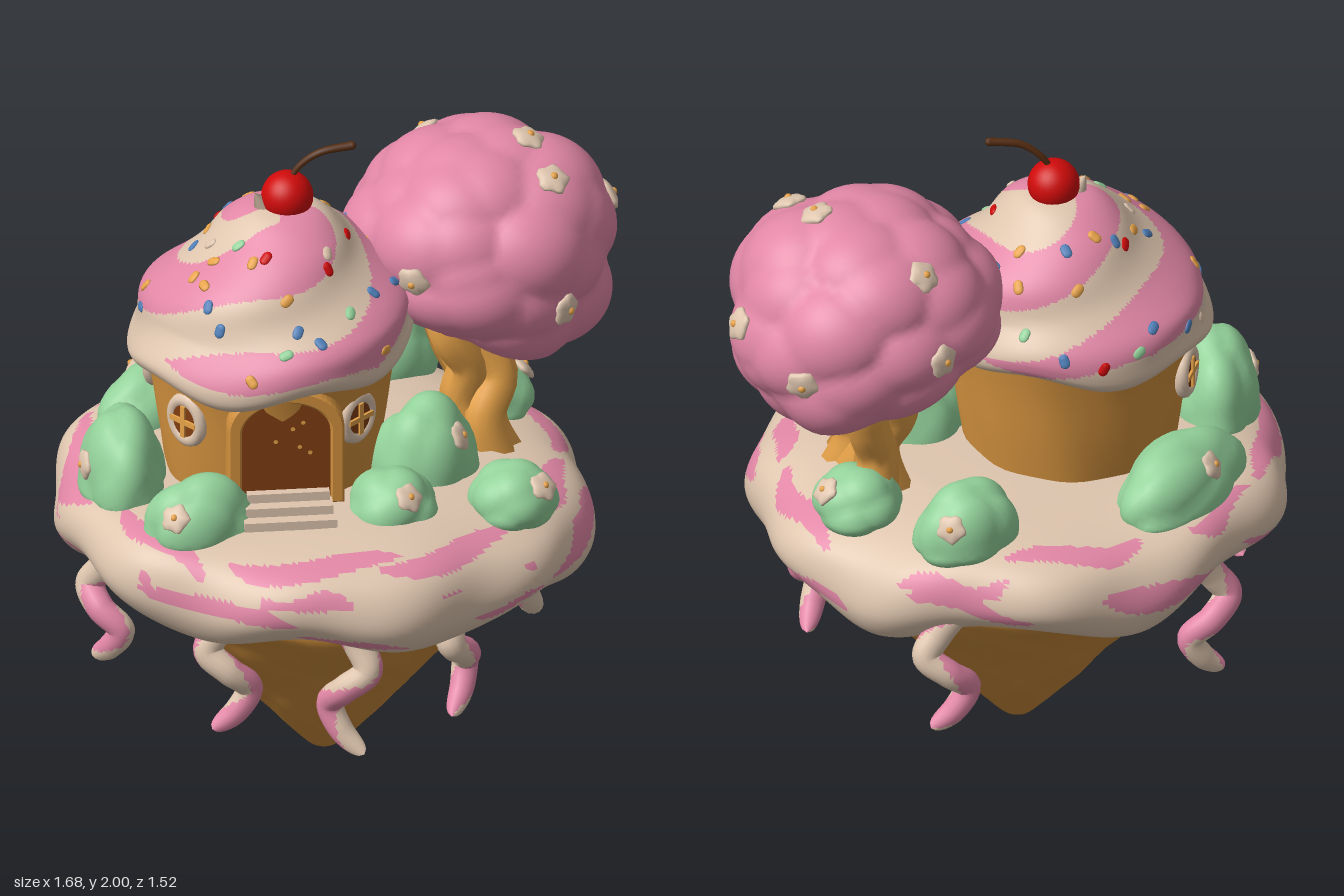
import * as THREE from 'three';
import { mergeVertices } from 'three/addons/utils/BufferGeometryUtils.js';

const V = (x, y, z) => new THREE.Vector3(x, y, z);
const { sin, cos, atan2, hypot, sqrt, abs, max, min, PI } = Math;

export function createModel() {
  const mat = (name, color) => {
    const m = new THREE.MeshStandardMaterial({ color });
    m.name = name;
    return m;
  };
  const cream = mat('cream', 0xdec5ae), pink = mat('pink', 0xe287a6), biscuit = mat('biscuit', 0xcb8b3a),
    wall = mat('cookieWall', 0xd4923e), honey = mat('honey', 0xeaa54a), brown = mat('chocolate', 0x803d11),
    red = mat('cherryRed', 0xd00a0a), green = mat('mint', 0x94d29b), blue = mat('blue', 0x4f7fb8), stemBrown = mat('stemBrown', 0x552c10);

  const model = new THREE.Group();
  const add = (name, geo, material, parent = model) => {
    const m = new THREE.Mesh(geo, material);
    m.name = name;
    parent.add(m);
    return m;
  };
  const group = (name, x = 0, y = 0, z = 0, parent = model) => {
    const g = new THREE.Group();
    g.name = name;
    g.position.set(x, y, z);
    parent.add(g);
    return g;
  };
  let seed = 7;
  const rnd = () => (seed = (seed * 16807) % 2147483647) / 2147483647;

  // Moves every vertex by a rule and rebuilds smooth normals without seams
  const reshape = (geo, rule) => {
    geo.deleteAttribute('uv');
    geo.deleteAttribute('normal');
    const g = mergeVertices(geo, 1e-4), p = g.attributes.position, v = V();
    for (let i = 0; i < p.count; i++) {
      rule(v.fromBufferAttribute(p, i));
      p.setXYZ(i, v.x, v.y, v.z);
    }
    g.computeVertexNormals();
    return g;
  };
  // Turned body from a smooth profile (bottom to top), then reshaped
  const turned = (pts, around, along, rule) => reshape(new THREE.LatheGeometry(
    new THREE.SplineCurve(pts.map(p => new THREE.Vector2(...p))).getSpacedPoints(along)
      .map(p => new THREE.Vector2(max(0, p.x), p.y)), around), rule);
  // Sorts triangles into two material groups
  const paint = (geo, rule) => {
    const idx = geo.index.array, p = geo.attributes.position, uv = geo.attributes.uv, sets = [[], []];
    for (let i = 0; i < idx.length; i += 3) {
      const t = [idx[i], idx[i + 1], idx[i + 2]], c = V(), w = new THREE.Vector2();
      for (const k of t) {
        c.add(V().fromBufferAttribute(p, k));
        if (uv) w.add(new THREE.Vector2().fromBufferAttribute(uv, k));
      }
      sets[rule(c.divideScalar(3), w.divideScalar(3)) ? 1 : 0].push(...t);
    }
    geo.setIndex([...sets[0], ...sets[1]]);
    geo.addGroup(0, sets[0].length, 0);
    geo.addGroup(sets[0].length, sets[1].length, 1);
    return geo;
  };
  // Tube whose radius follows a function of its length
  const taper = (pts, radius, n = 32, sides = 10) => {
    const curve = new THREE.CatmullRomCurve3(pts), g = new THREE.TubeGeometry(curve, n, 1, sides);
    const p = g.attributes.position, v = V();
    for (let i = 0; i < p.count; i++) {
      const t = Math.floor(i / (sides + 1)) / n, c = curve.getPointAt(t);
      v.fromBufferAttribute(p, i).sub(c).multiplyScalar(radius(t, i % (sides + 1))).add(c);
      p.setXYZ(i, v.x, v.y, v.z);
    }
    return g;
  };
  // Ball covered in rounded lobes of uneven height
  const lumpy = (detail, count, amp, rule) => {
    const lobes = Array.from({ length: count }, (_, i) => {
      const y = 1 - (2 * i + 1) / count, r = sqrt(1 - y * y), a = i * 2.4 + rnd() * 0.8;
      return V(r * cos(a), y + (rnd() - 0.5) * 0.3, r * sin(a)).normalize().multiplyScalar(1 - 0.8 * rnd() * amp);
    });
    return reshape(new THREE.IcosahedronGeometry(1, detail), v => {
      const m = max(...lobes.map(l => l.dot(v)));
      v.multiplyScalar(1 + amp * 0.45 - amp * min(1.8, (1 - m) * count / 4));
      rule(v);
    });
  };
  // Places an object on a surface vertex, facing outward
  const stick = (obj, geo, i) => {
    obj.position.fromBufferAttribute(geo.attributes.position, i);
    obj.quaternion.setFromUnitVectors(V(0, 0, 1), V().fromBufferAttribute(geo.attributes.normal, i));
  };
  const flower = (geo, dir, parent, size) => {
    const p = geo.attributes.position, d = V(...dir).normalize();
    let best = 0, score = -9;
    for (let i = 0; i < p.count; i++) {
      const s = V().fromBufferAttribute(p, i).normalize().dot(d);
      if (s > score) { score = s; best = i; }
    }
    const f = group('flower', 0, 0, 0, parent);
    stick(f, geo, best);
    add('petals', reshape(new THREE.SphereGeometry(size, 20, 8), v => {
      const k = 1 + 0.12 * cos(5 * atan2(v.y, v.x));
      v.set(v.x * k, v.y * k, v.z * 0.4);
    }), cream, f);
    add('flowerCentre', new THREE.SphereGeometry(size * 0.26, 8, 6).translate(0, 0, size * 0.3), honey, f);
  };

  // Waffle cone
  add('cone', turned([[0, 0], [0.04, 0.018], [0.095, 0.075], [0.22, 0.22], [0.365, 0.4], [0.52, 0.585], [0.61, 0.71], [0.5, 0.8]], 72, 48, v => {
    const a = atan2(v.x, v.z), k = 1 + 0.012 * sin(a * 7 + 2) * sin(v.y * 24) + 0.012 * sin(a * 4 - v.y * 17) + 0.008 * sin(a * 13) * sin(v.y * 47 + a);
    v.x = v.x * k - 0.05;
    v.z *= k;
  }), biscuit);

  // Frosting island; streaks run from (angle, distance) to (angle, distance) with a half width
  const streaks = [
    [-1.15, 0.66, -0.6, 0.71, 0.034], [-0.85, 0.77, -0.2, 0.85, 0.036], [-0.52, 0.66, 0.28, 0.62, 0.042], [0.15, 0.66, 0.9, 0.65, 0.038],
    [0.3, 0.76, 0.85, 0.79, 0.03], [0.55, 0.92, 0.9, 0.87, 0.022], [-1.3, 0.72, -2.05, 0.73, 0.034], [-1.5, 0.84, -1.05, 0.92, 0.03],
    [-2.7, 0.64, -3.35, 0.65, 0.036], [2.95, 0.71, 2.45, 0.77, 0.032], [-2.5, 0.69, -2.1, 0.72, 0.024], [1.1, 0.66, 1.55, 0.7, 0.034],
    [0.95, 0.85, 1.5, 0.78, 0.034], [1.6, 0.68, 2.15, 0.74, 0.034], [1.75, 0.86, 2.3, 0.9, 0.034], [-2.25, 0.8, -1.65, 0.9, 0.036],
    [-2.95, 0.82, -2.4, 0.88, 0.038], [3.05, 0.86, 2.55, 0.81, 0.034], [-0.2, 0.93, 0.25, 0.96, 0.026], [-0.35, 0.73, 0.05, 0.75, 0.022]
  ];
  const island = turned([[0.45, 0.77], [0.6, 0.71], [0.7, 0.7], [0.765, 0.78], [0.755, 0.87], [0.69, 0.935], [0.55, 0.97], [0.3, 0.985], [0, 0.99]], 250, 90, v => {
    const a = atan2(v.x, v.z), r = hypot(v.x, v.z), rim = max(0, min(1, (r - 0.4) / 0.3)), low = max(0, (0.97 - v.y) / 0.27);
    const k = 1 + rim * (0.014 * sin(6 * a + 1) + 0.014 * sin(11 * a - v.y * 9));
    v.y += rim * 0.012 * sin(5 * a) + low * 0.035 * sin(6 * a + 2.6) - 0.035 * v.x * rim;
    v.x = v.x * k * 1.02 - 0.055;
    v.z *= k * 0.97;
  });
  add('frostingIsland', paint(island, c => {
    const x = c.x + 0.055, r = hypot(x, c.z), a = atan2(x, c.z);
    const s = c.y > 0.86 ? r : 0.77 + (0.86 - c.y) + (0.77 - r);
    return streaks.some(([a0, s0, a1, s1, w]) => [a - 2 * PI, a, a + 2 * PI].some(b => {
      const t = (b - a0) / (a1 - a0);
      return t > 0 && t < 1 && abs(s - s0 - (s1 - s0) * t - 0.018 * sin(2 * PI * t)) < w * sqrt(sin(PI * t));
    }));
  }), [cream, pink]);

  // Curly drips: x, z, lowest point
  [[-0.69, 0.15, 0.39], [-0.54, -0.43, 0.36], [-0.37, 0.5, 0.34], [-0.04, 0.61, 0.31], [0.29, 0.48, 0.36], [0.55, -0.03, 0.37], [0.24, -0.61, 0.36]].forEach(([x, z, end], i) => {
    const a = atan2(x + 0.05, z), s = i % 2 ? 1 : -1;
    const at = (side, out, t) => V(x + s * side * cos(a) + out * sin(a), 0.77 + (end + 0.015 - 0.77) * t, z - s * side * sin(a) + out * cos(a));
    const path = [at(-0.02, -0.02, 0), at(0.03, 0.01, 0.2), at(0.055, 0.04, 0.36), at(-0.01, 0.03, 0.5), at(-0.05, -0.02, 0.66), at(-0.02, 0, 0.84), at(0.045, 0.03, 1)];
    add('drip', paint(taper(path, t => 0.046 * (1 - 0.2 * t) * sqrt(max(0, 1 - t ** 12)), 60, 14),
      (c, uv) => sin(2 * PI * (uv.y + uv.x * 1.2) + i) > 0), [cream, pink]);
  });

  // House walls
  const house = group('house', -0.205, 0, 0);
  add('walls', turned([[0.305, 0.95], [0.33, 1.12], [0.35, 1.28], [0.375, 1.42]], 48, 10, v => {
    const k = 1 + 0.012 * sin(9 * atan2(v.x, v.z) + v.y * 6);
    v.x *= k;
    v.z *= k;
  }), wall, house);

  // Arched doorway
  const arch = (w, h, S = THREE.Shape) => {
    const s = new S();
    s.moveTo(-w, 0).lineTo(w, 0).lineTo(w, h - w * 0.75);
    s.absellipse(0, h - w * 0.75, w, w * 0.75, 0, PI, false);
    return s.lineTo(-w, 0);
  };
  const frame = arch(0.163, 0.365);
  frame.holes.push(arch(0.136, 0.335, THREE.Path));
  add('doorFrame', new THREE.ExtrudeGeometry(frame, { depth: 0.14, bevelSize: 0.007, bevelThickness: 0.007, bevelSegments: 1 })
    .translate(0.01, 1.02, 0.22), wall, house);
  add('door', new THREE.ExtrudeGeometry(arch(0.14, 0.34), { depth: 0.1, bevelEnabled: false }).translate(0.01, 1.02, 0.255), brown, house);
  for (const [x, y] of [[0.08, 1.18], [0.03, 1.26], [0.05, 1.2], [-0.02, 1.22], [0.06, 1.28]])
    add('doorSpeck', new THREE.CircleGeometry(0.007, 8).translate(x, y, 0.357), honey, house);
  for (let i = 0; i < 3; i++)
    add('step', new THREE.BoxGeometry(0.24 + (2 - i) * 0.015, 0.028, 0.17 - i * 0.035).translate(0.015, 0.99 + i * 0.028, 0.365 - i * 0.0175), cream, house);

  // Round windows
  for (const [x, z] of [[0.225, 0.255], [-0.265, 0.225], [-0.32, -0.15]]) {
    const w = group('window', x, 1.235, z, house);
    w.rotation.y = atan2(x, z);
    add('windowRim', new THREE.TorusGeometry(0.055, 0.019, 10, 24).scale(1, 1.15, 1.1), cream, w);
    add('windowPane', new THREE.CylinderGeometry(0.05, 0.05, 0.03, 20).rotateX(PI / 2), brown, w);
    for (const r of [0, PI / 2]) add('windowBar', new THREE.BoxGeometry(0.1, 0.016, 0.009).rotateZ(r).translate(0, 0, 0.018), honey, w);
  }

  // Frosting roof with two swirled arms
  const swirl = (x, y, z) => 23 * (y - 1.36) - 2 * atan2(x, z);
  const roof = turned([[0.3, 1.4], [0.375, 1.355], [0.415, 1.39], [0.405, 1.45], [0.375, 1.52], [0.315, 1.6], [0.25, 1.67], [0.18, 1.74], [0.1, 1.795], [0, 1.81]], 180, 80, v => {
    const a = atan2(v.x, v.z), up = max(0, (v.y - 1.4) / 0.45), k = 1 + 0.06 * sin(swirl(v.x, v.y, v.z)) * min(1, up * 4);
    v.x *= k;
    v.z *= k;
    v.y += 0.02 * sin(a * 5 + 0.5) * (1 - min(1, up * 3)) + 0.06 * v.x * (1 - up);
    v.x += 0.04 * up;
    v.z -= 0.015 * up;
  });
  add('frostingRoof', paint(roof, c => {
    const a = atan2(c.x, c.z);
    return c.y > 1.42 + 0.02 * sin(4 * a) && sin(swirl(c.x, c.y, c.z) + 0.5 * sin(3 * a) - 0.4) > -0.05;
  }), [cream, pink], house);
  add('frostingPeak', taper([V(0.03, 1.7, 0), V(-0.01, 1.78, -0.01), V(-0.045, 1.845, -0.01)], t => 0.075 * (1 - t) ** 0.8, 12, 12), cream, house);

  // Sprinkles
  const colours = [honey, blue, honey, green, blue, cream, honey, blue, red];
  const roofY = roof.attributes.position;
  for (let i = 0; i < 46; i++) {
    let k;
    do k = Math.floor(((i * 0.618 + rnd() * 0.03) % 1) * roofY.count);
    while (roofY.getY(k) < 1.43 || roofY.getY(k) > 1.75);
    stick(add('sprinkle', new THREE.CapsuleGeometry(0.015, 0.014, 3, 8).rotateZ(rnd() * PI).scale(1, 1, 0.45), colours[i % 9], house), roof, k);
  }

  // Cherry and stem
  add('cherry', new THREE.SphereGeometry(0.076, 28, 20).translate(-0.155, 1.828, -0.015), red);
  add('cherryStem', taper([V(-0.15, 1.88, -0.015), V(-0.115, 1.93, -0.015), V(-0.06, 1.97, -0.01), V(0.035, 1.988, -0.01)], t => 0.009 + 0.004 * t, 16, 8), stemBrown);
  add('stemTip', new THREE.SphereGeometry(0.013, 8, 6).translate(0.033, 1.987, -0.01), stemBrown);

  // Twisted tree trunks, grooved along their length
  const trunks = [
    [[0.45, 0.92, -0.02], [0.42, 1.06, -0.03], [0.46, 1.17, -0.07], [0.4, 1.3, -0.09], [0.43, 1.47, -0.13]],
    [[0.41, 0.93, -0.06], [0.36, 1.1, -0.08], [0.38, 1.22, -0.06], [0.32, 1.33, -0.04], [0.29, 1.47, -0.08]],
    [[0.42, 0.93, -0.28], [0.4, 1.1, -0.25], [0.43, 1.22, -0.3], [0.45, 1.33, -0.33], [0.47, 1.45, -0.33]],
    [[0.37, 0.93, -0.22], [0.39, 1.1, -0.2], [0.34, 1.22, -0.23], [0.35, 1.33, -0.27], [0.33, 1.47, -0.26]]
  ];
  for (const t of trunks) add('trunk', taper(t.map(p => V(...p)), (s, j) => (0.058 + 0.035 * (1 - s) ** 6 + 0.012 * s) * (j % 3 === 0 ? 0.78 : 1), 24, 15), honey);

  // Tree canopy, lower on its outer side
  const tree = group('tree', 0.44, 1.575, -0.19);
  const canopy = lumpy(18, 44, 0.1, v => {
    const drop = v.y < 0 ? 0.97 + 0.3 * max(-1, min(0.4, v.x)) : 1;
    v.set(v.x * 0.41, v.y * 0.35 * drop - 0.04 * max(0, v.x) * (1 - abs(v.y)), v.z * 0.395);
  });
  add('canopy', canopy, pink, tree);
  for (const d of [[-0.22, 0.03, 0.28], [0.15, 0.24, 0.15], [0.18, -0.09, 0.28], [0.34, 0.05, -0.1], [0.12, 0.3, 0.03], [-0.16, 0.22, -0.22], [-0.18, 0, -0.32], [0.2, -0.05, -0.3]])
    flower(canopy, d, tree, 0.048);

  // Bushes: x, z, half sizes, turn
  const bushes = [
    [-0.48, -0.36, 0.25, 0.17, 0.14, 0.72], [-0.645, 0.09, 0.13, 0.23, 0.19, 0], [-0.45, 0.38, 0.17, 0.16, 0.12, 0.2],
    [0.12, 0.33, 0.13, 0.13, 0.13, 0], [0.23, 0.1, 0.16, 0.24, 0.15, 0.4], [0.47, 0.31, 0.13, 0.12, 0.13, 1],
    [0.17, -0.52, 0.16, 0.18, 0.12, 0.3], [0.46, -0.3, 0.13, 0.12, 0.13, 2]
  ];
  for (const [x, z, rx, ry, rz, turn] of bushes) {
    const g = group('bush', x, 0.965, z);
    const leaf = lumpy(7, 14, 0.17, v => v.set(v.x * rx, v.y * (v.y < 0 ? 0.08 : ry), v.z * rz).applyAxisAngle(V(0, 1, 0), turn));
    add('leaves', leaf, green, g);
    flower(leaf, [(x + 0.1) * 0.25, 0.11, z * 0.25 + 0.03], g, 0.042);
  }
  return model;
}
